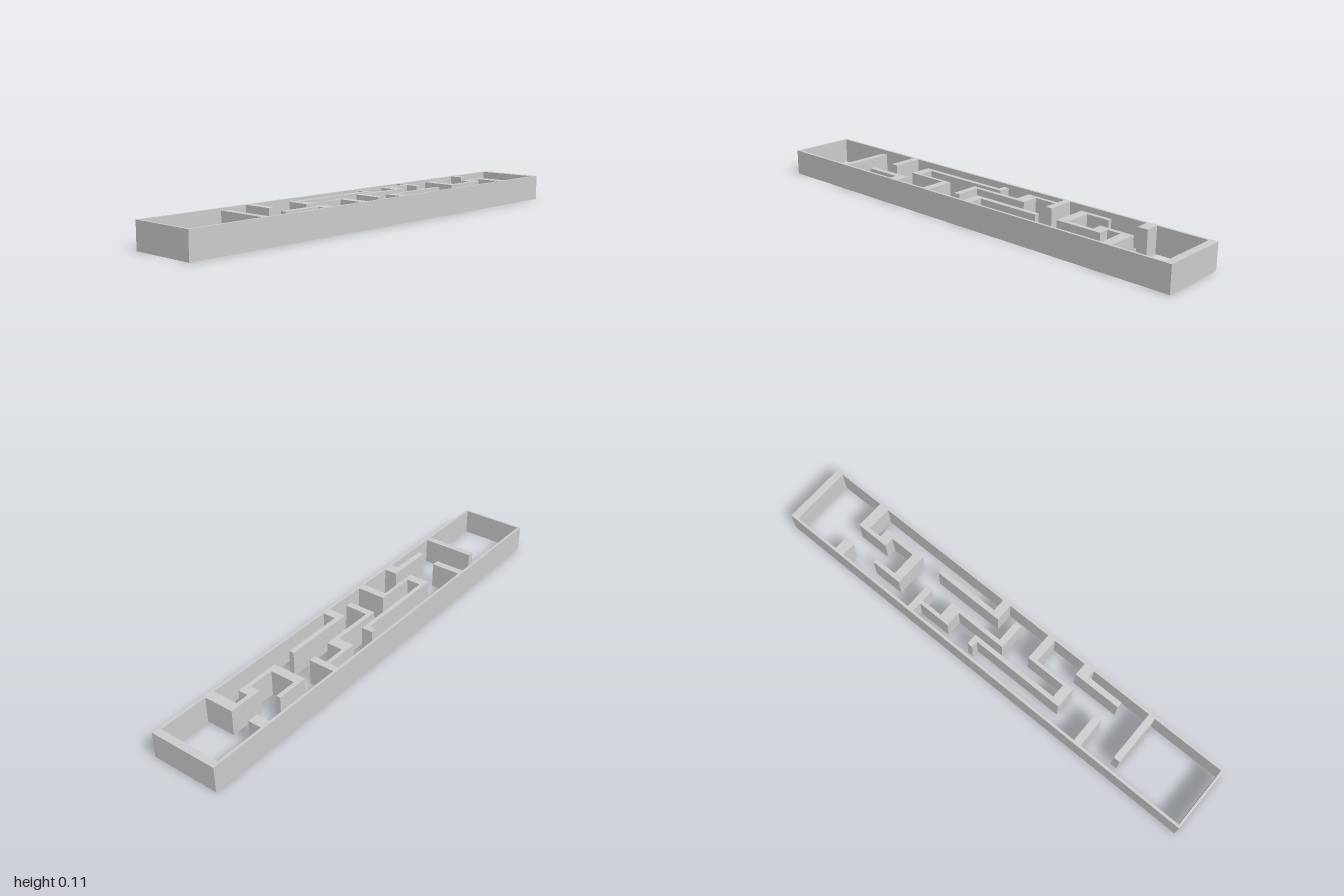
import * as THREE from 'three';

const HEIGHT = 0.109;
const W = 0.144; // half width of the frame
const R = 0.133; // inner face of the side walls
const L = -R;

// Right-angled outline from x0, z0, x1, z1, ...: each step moves along x, then along z.
function outline(steps) {
  const points = [];
  for (let i = 0; i < steps.length; i += 2) {
    points.push(new THREE.Vector2(steps[i], -steps[i + 1]));
    points.push(new THREE.Vector2(steps[(i + 2) % steps.length], -steps[i + 1]));
  }
  return points;
}

// Upright wall with the given floor plan
function wall(name, shape, material) {
  const geometry = new THREE.ExtrudeGeometry(shape, { depth: HEIGHT, bevelEnabled: false });
  geometry.rotateX(-Math.PI / 2);
  const mesh = new THREE.Mesh(geometry, material);
  mesh.name = name;
  return mesh;
}

export function createModel() {
  const group = new THREE.Group();
  group.name = 'mazeTray';
  const material = new THREE.MeshStandardMaterial({ color: 0xcccccc, flatShading: true });

  // Open frame, thicker at the back end; the hole winds against the outer edge
  const frame = new THREE.Shape(outline([-W, -1, W, 1]));
  frame.holes.push(new THREE.Path(outline([L, -0.968, R, 0.991]).reverse()));
  group.add(wall('outerFrame', frame, material));

  // Inner walls, from back to front
  const plans = {
    backStub: [L, -0.757, -0.075, -0.712],
    backHookWall: [R, -0.754, 0.006, -0.608, 0.048, -0.497, -0.061, -0.595,
      -0.079, -0.457, 0.067, -0.653, 0.024, -0.71],
    steppedWall: [L, -0.36, -0.021, -0.33, -0.076, -0.235, -0.005, 0.013,
      0.095, 0.042, -0.023, -0.185, -0.092, -0.33],
    middleCornerWall: [0.056, -0.362, 0.077, -0.085, R, -0.047],
    middleHookWall: [-0.098, -0.074, -0.05, 0.323, 0.01, 0.148, R, 0.183,
      0.024, 0.363, -0.069, -0.05],
    frontCornerWall: [0.077, 0.333, R, 0.379, 0.102, 0.54],
    frontStub: [L, 0.492, -0.005, 0.524],
    frontCrossWall: [-0.088, 0.65, R, 0.678],
  };
  for (const [name, steps] of Object.entries(plans)) {
    group.add(wall(name, new THREE.Shape(outline(steps)), material));
  }
  return group;
}
